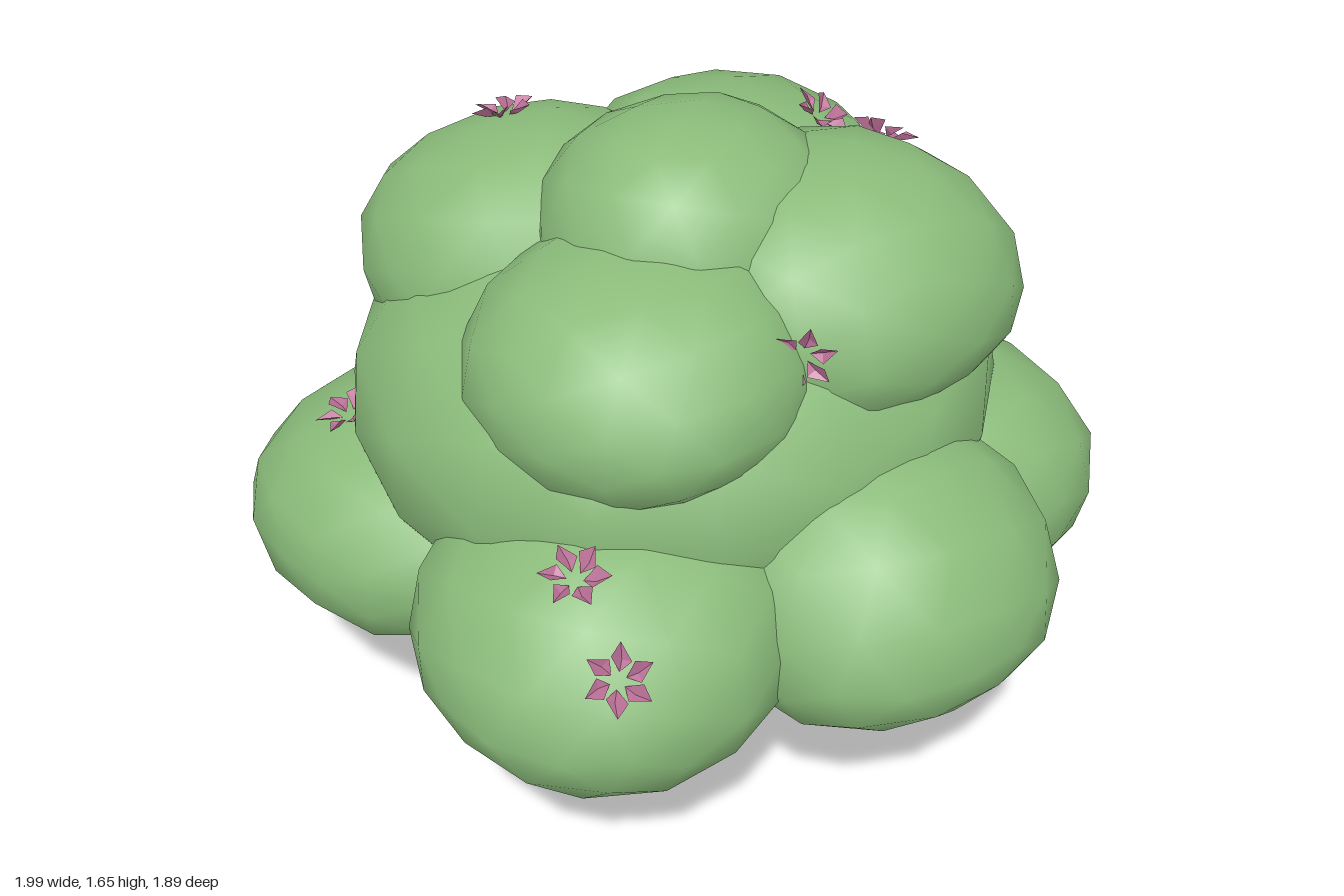
import * as THREE from 'three';
import { mergeVertices, mergeGeometries } from 'three/addons/utils/BufferGeometryUtils.js';

const leafGreen = new THREE.MeshStandardMaterial({ name: 'leafGreen', color: 0x8abb7a });
const barkBrown = new THREE.MeshStandardMaterial({ name: 'barkBrown', color: 0x965f48 });
const petalPink = new THREE.MeshStandardMaterial({ name: 'petalPink', color: 0xbb7097, side: THREE.DoubleSide });

// name, centre, radii (x, up, z, down)
const CLUMPS = [
  ['core', [-0.03, 0.94, 0], [0.72, 0.47, 0.76, 0.50]],
  ['lowerFrontRight', [-0.33, 0.64, 0.53], [0.42, 0.31, 0.42, 0.27]],
  ['lowerFrontLeft', [0.36, 0.65, 0.51], [0.415, 0.35, 0.41, 0.26]],
  ['lowerLeft', [0.59, 0.67, -0.07], [0.41, 0.37, 0.41, 0.26]],
  ['lowerRight', [-0.58, 0.67, -0.06], [0.42, 0.33, 0.42, 0.25]],
  ['lowerBackRight', [-0.29, 0.63, -0.53], [0.41, 0.35, 0.42, 0.27]],
  ['lowerBackLeft', [0.30, 0.64, -0.51], [0.41, 0.34, 0.41, 0.26]],
  ['upperFrontRight', [-0.35, 1.21, 0.20], [0.38, 0.32, 0.39, 0.24]],
  ['upperFrontLeft', [0.22, 1.18, 0.30], [0.38, 0.295, 0.38, 0.23]],
  ['upperBackRight', [-0.23, 1.21, -0.32], [0.38, 0.30, 0.38, 0.23]],
  ['upperBackLeft', [0.28, 1.23, -0.22], [0.38, 0.335, 0.41, 0.23]],
  ['crown', [0.06, 1.37, 0.04], [0.325, 0.28, 0.335, 0.20]],
];

// Slightly boxy dome with gentle lumps and smooth normals, widest below its middle, leaning inward
function clumpGeometry(c, r, seed) {
  let g = new THREE.IcosahedronGeometry(1, 2);
  g.deleteAttribute('normal');
  g.deleteAttribute('uv');
  g.rotateY(seed * 0.7);
  g = mergeVertices(g, 1e-3);
  const p = g.attributes.position, v = new THREE.Vector3(), e = 2.25;
  for (let i = 0; i < p.count; i++) {
    v.fromBufferAttribute(p, i).normalize();
    const box = Math.pow(Math.abs(v.x) ** e + Math.abs(v.y) ** e + Math.abs(v.z) ** e, -1 / e);
    const lump = 1 + 0.013 * (Math.sin(4 * v.x + seed * 1.7) + Math.sin(5 * v.z + 3 * v.y + seed * 2.9));
    v.multiplyScalar(box * lump);
    const lean = 1 - 0.16 * Math.max(v.y, 0) ** 2;
    p.setXYZ(i, c[0] * lean + v.x * r[0], c[1] + v.y * (v.y > 0 ? r[1] : r[3]), c[2] * lean + v.z * r[2]);
  }
  g.computeVertexNormals();
  return g;
}

// Curved tapering branch, capped at the foot
function branchGeometry(points, r0, r1) {
  const curve = new THREE.CatmullRomCurve3(points.map(q => new THREE.Vector3(...q)));
  const seg = 6, sides = 7;
  const tube = new THREE.TubeGeometry(curve, seg, 1, sides, false);
  const p = tube.attributes.position, v = new THREE.Vector3();
  for (let i = 0; i < p.count; i++) {
    const t = Math.floor(i / (sides + 1)) / seg;
    const centre = curve.getPointAt(t);
    v.fromBufferAttribute(p, i).sub(centre).multiplyScalar(r0 + (r1 - r0) * t).add(centre);
    p.setXYZ(i, v.x, Math.max(v.y, 0), v.z);
  }
  tube.computeVertexNormals();
  const foot = new THREE.CircleGeometry(r0, sides).rotateX(Math.PI / 2);
  foot.translate(points[0][0], points[0][1] + 0.001, points[0][2]);
  return mergeGeometries([tube, foot]);
}

// Six folded pointed petals cupped round an open centre, facing +z
function flowerGeometry() {
  const pos = [], count = 6;
  for (let i = 0; i < count; i++) {
    const a = i * Math.PI * 2 / count;
    const at = (r, da, z) => [r * Math.cos(a + da), r * Math.sin(a + da), z];
    const root = at(0.018, 0, 0), tip = at(0.078, 0.12, 0.022);
    const left = at(0.05, 0.52, 0.03), right = at(0.046, -0.46, 0.016), fold = at(0.044, 0, 0.004);
    for (const t of [[root, right, fold], [right, tip, fold], [tip, left, fold], [left, root, fold]]) pos.push(...t.flat());
  }
  const g = new THREE.BufferGeometry();
  g.setAttribute('position', new THREE.Float32BufferAttribute(pos, 3));
  g.computeVertexNormals();
  return g;
}

export function createModel() {
  const model = new THREE.Group();
  model.name = 'floweringBush';

  // Foliage
  const foliage = new THREE.Group();
  foliage.name = 'foliage';
  CLUMPS.forEach(([name, c, r], i) => {
    const m = new THREE.Mesh(clumpGeometry(c, r, i + 1), leafGreen);
    m.name = name + 'Foliage';
    foliage.add(m);
  });
  model.add(foliage);

  // Branches fanning out from one foot
  const branches = new THREE.Group();
  branches.name = 'branches';
  const tips = [[0.24, 0.44, 0.46], [0.24, 0.46, -0.42], [-0.24, 0.46, -0.4], [-0.38, 0.44, 0.02], [-0.3, 0.45, 0.46]];
  const addBranch = (pts, r0, r1) => {
    const m = new THREE.Mesh(branchGeometry(pts, r0, r1), barkBrown);
    m.name = 'branch';
    branches.add(m);
  };
  for (const [x, y, z] of tips) {
    const bx = -0.015 + x * 0.06, bz = 0.01 + z * 0.07;
    addBranch([[bx, 0, bz], [bx + x * 0.24, 0.15, bz + z * 0.22], [x * 0.66, 0.32, z * 0.66], [x, y, z]], 0.042, 0.026);
  }
  addBranch([[0.05, 0.12, 0.02], [0.13, 0.19, 0.04], [0.3, 0.31, 0.06], [0.5, 0.44, 0.05]], 0.026, 0.015);
  model.add(branches);

  // Flowers set on the leaf surface: clump index, approximate place
  const flowers = new THREE.Group();
  flowers.name = 'flowers';
  const places = [
    [1, -0.39, 0.91, 0.7], [4, -0.77, 0.88, 0.23], [7, -0.42, 1.48, 0.2], [9, -0.06, 1.44, -0.42],
    [10, 0.17, 1.47, -0.43], [10, 0.54, 1.3, 0.12], [2, 0.48, 0.95, 0.66], [2, 0.67, 0.82, 0.69],
    [0, -0.18, 1.06, -0.67], [7, -0.64, 1.27, -0.09],
  ];
  const shape = flowerGeometry(), ray = new THREE.Raycaster(), front = new THREE.Vector3(0, 0, 1);
  places.forEach(([k, x, y, z], i) => {
    const p = new THREE.Vector3(x, y, z);
    const out = p.clone().sub(new THREE.Vector3(...CLUMPS[k][1])).divide(new THREE.Vector3(...CLUMPS[k][2])).normalize();
    ray.set(p.clone().addScaledVector(out, 0.25), out.clone().negate());
    const hit = ray.intersectObjects(foliage.children, false)[0];
    const m = new THREE.Mesh(shape, petalPink);
    m.name = 'flower';
    m.position.copy(hit ? hit.point : p);
    m.quaternion.setFromUnitVectors(front, hit ? hit.face.normal : out);
    m.rotateZ(i * 1.3);
    flowers.add(m);
  });
  model.add(flowers);
  return model;
}
